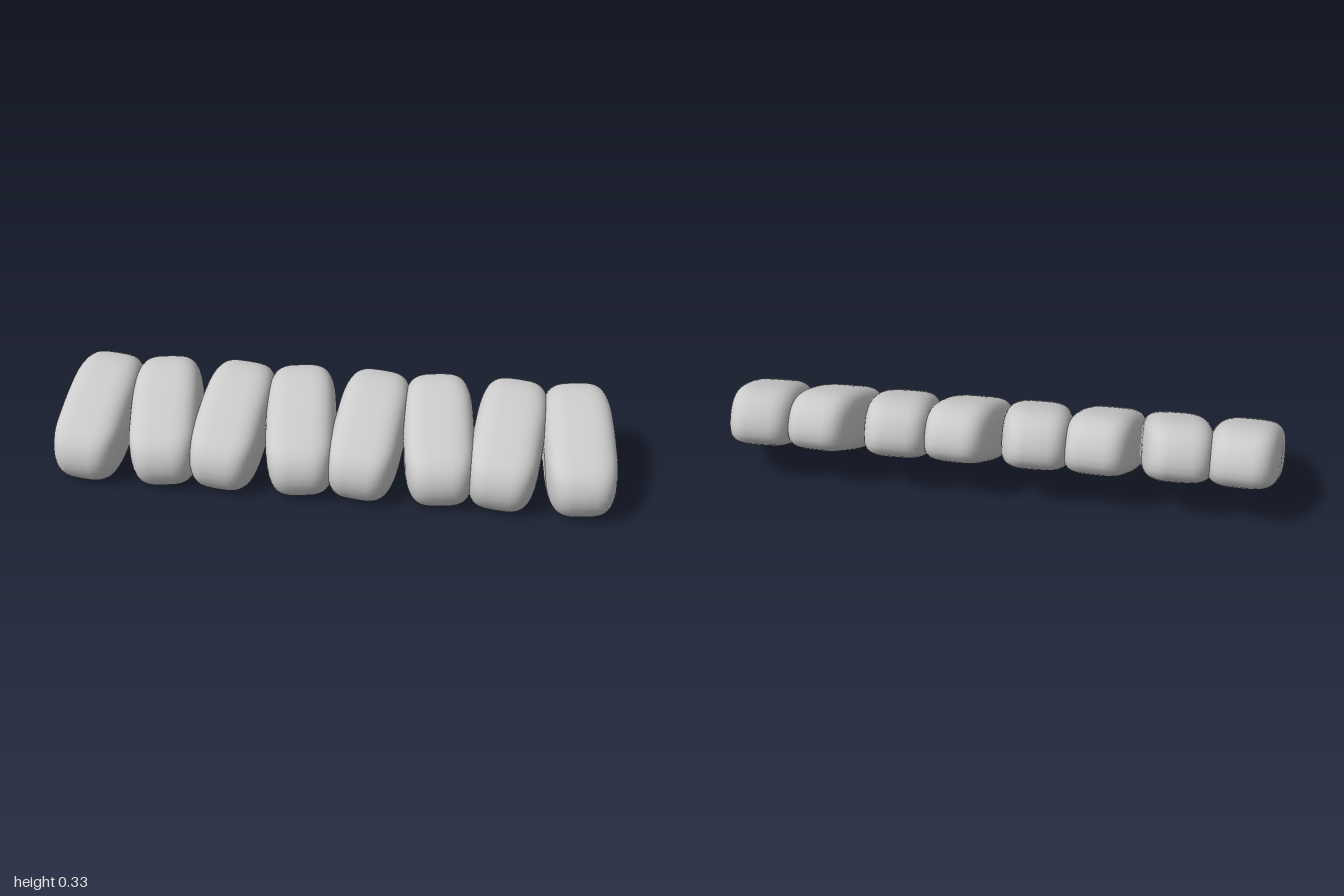
import * as THREE from 'three';

const MID_Y = 0.167;       // height of each tooth's centre
const HALF_WIDTH = 0.1265;
const ROUNDNESS = 3.6;     // superellipse exponent across the width
const COUNT = 8;

// Side outline of a tooth as [z, y], from the low front over the top to the high back
const OUTLINE = [
  [0.255, 0.12], [0.24, 0.168], [0.21, 0.202], [0.15, 0.236], [0.07, 0.275], [0, 0.303],
  [-0.07, 0.325], [-0.13, 0.333], [-0.19, 0.32], [-0.23, 0.283], [-0.252, 0.235],
  [-0.25, 0.195], [-0.22, 0.161], [-0.12, 0.105], [0, 0.048], [0.09, 0.016],
  [0.16, 0.002], [0.205, 0.011], [0.24, 0.05], [0.254, 0.09],
];

// Loft the outline across x, shrinking it to a rounded cap on both sides
function toothGeometry(rows = 24, cols = 48) {
  const curve = new THREE.CatmullRomCurve3(
    OUTLINE.map(([z, y]) => new THREE.Vector3(0, y - MID_Y, z)), true);
  const ring = curve.getSpacedPoints(cols).slice(0, cols);
  const positions = [], index = [];
  for (let i = 0; i <= rows; i++) {
    const t = (i / rows - 0.5) * Math.PI;
    const x = HALF_WIDTH * Math.sign(t) * Math.abs(Math.sin(t)) ** (2 / ROUNDNESS);
    const s = 0.988 * Math.max(Math.cos(t), 0) ** (2 / ROUNDNESS);
    for (const p of ring) positions.push(x, p.y * s, p.z * s);
  }
  for (let i = 0; i < rows; i++) {
    for (let j = 0; j < cols; j++) {
      const a = i * cols + j, b = i * cols + (j + 1) % cols;
      index.push(a, a + cols, b, b, a + cols, b + cols);
    }
  }
  const geometry = new THREE.BufferGeometry();
  geometry.setAttribute('position', new THREE.Float32BufferAttribute(positions, 3));
  geometry.setIndex(index);
  geometry.computeVertexNormals();
  return geometry;
}

export function createModel() {
  const model = new THREE.Group();
  model.name = 'toothRow';
  const material = new THREE.MeshStandardMaterial({ color: 0xcccccc });
  const geometry = toothGeometry();
  const tiltedUp = new THREE.Vector3(0, 0.92, 0.39).normalize();

  // Row of teeth, turned alternately to one side and the other
  for (let i = 0; i < COUNT; i++) {
    const tooth = new THREE.Mesh(geometry, material);
    tooth.name = `tooth${i + 1}`;
    tooth.position.set(-0.863 + (1.726 * i) / (COUNT - 1), MID_Y, 0);
    tooth.quaternion.setFromAxisAngle(tiltedUp, i % 2 ? 0.105 : -0.105);
    model.add(tooth);
  }
  return model;
}
